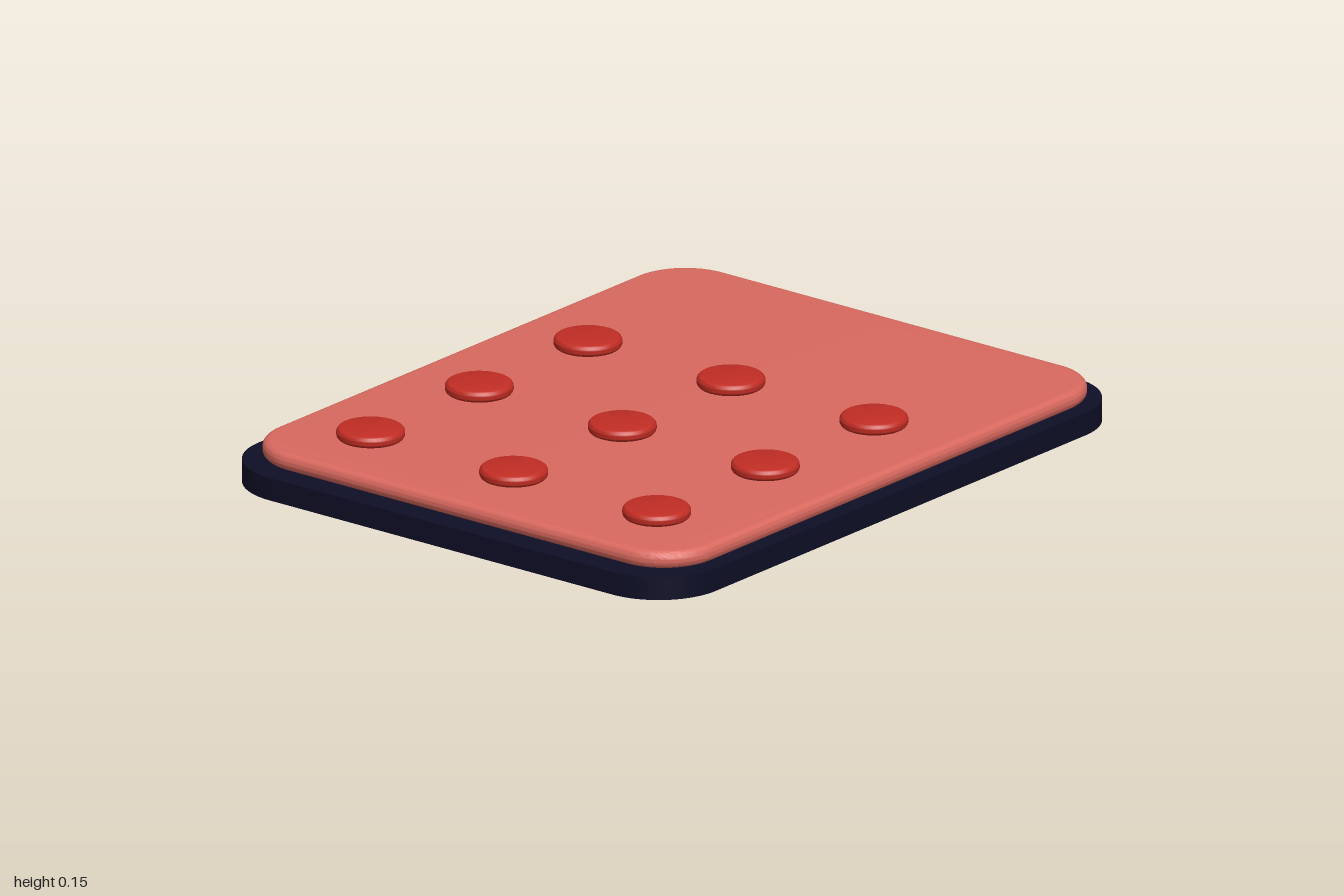
import * as THREE from 'three';
import { toCreasedNormals } from 'three/addons/utils/BufferGeometryUtils.js';

const navy = new THREE.MeshStandardMaterial({ name: 'navy', color: 0x0e0e26 });
const coral = new THREE.MeshStandardMaterial({ name: 'coral', color: 0xd9695f });
const red = new THREE.MeshStandardMaterial({ name: 'red', color: 0xc12d24 });

// Flat slab with rounded corners, lying on y = 0; bevel rounds its rims
function slab(width, depth, radius, height, bevel) {
  const x = width / 2 - bevel, z = depth / 2 - bevel, r = radius - bevel;
  const s = new THREE.Shape();
  s.absarc(x - r, z - r, r, 0, Math.PI / 2);
  s.absarc(-x + r, z - r, r, Math.PI / 2, Math.PI);
  s.absarc(-x + r, -z + r, r, Math.PI, Math.PI * 1.5);
  s.absarc(x - r, -z + r, r, Math.PI * 1.5, Math.PI * 2);
  const g = new THREE.ExtrudeGeometry(s, {
    depth: height - 2 * bevel, curveSegments: 16, bevelEnabled: bevel > 0,
    bevelThickness: bevel, bevelSize: bevel, bevelSegments: 6,
  });
  g.translate(0, 0, bevel);
  g.rotateX(-Math.PI / 2);
  return toCreasedNormals(g, 0.6);
}

// Round button with a softened rim
function buttonGeometry(radius, height, bevel) {
  const points = [new THREE.Vector2(0, 0)];
  for (const [cy, start] of [[bevel, -Math.PI / 2], [height - bevel, 0]]) {
    for (let i = 0; i <= 6; i++) {
      const a = start + (i / 6) * Math.PI / 2;
      points.push(new THREE.Vector2(radius - bevel + bevel * Math.cos(a), cy + bevel * Math.sin(a)));
    }
  }
  points.push(new THREE.Vector2(0, height));
  return toCreasedNormals(new THREE.LatheGeometry(points, 40), 0.6);
}

export function createModel() {
  const model = new THREE.Group();
  model.name = 'buttonPad';

  const add = (name, geometry, material, x, y, z) => {
    const mesh = new THREE.Mesh(geometry, material);
    mesh.name = name;
    mesh.position.set(x, y, z);
    model.add(mesh);
  };

  // Dark base plate and the soft pad, set slightly towards the back
  add('basePlate', slab(1.6, 2, 0.2, 0.065, 0), navy, 0, 0, 0);
  add('pad', slab(1.526, 1.9, 0.17, 0.05, 0.022), coral, 0, 0.065, -0.012);

  // Three by three buttons
  const button = buttonGeometry(0.094, 0.033, 0.014);
  for (const z of [-0.255, 0.215, 0.685]) {
    for (const x of [-0.5, 0, 0.5]) add('button', button, red, x, 0.114, z);
  }
  return model;
}
